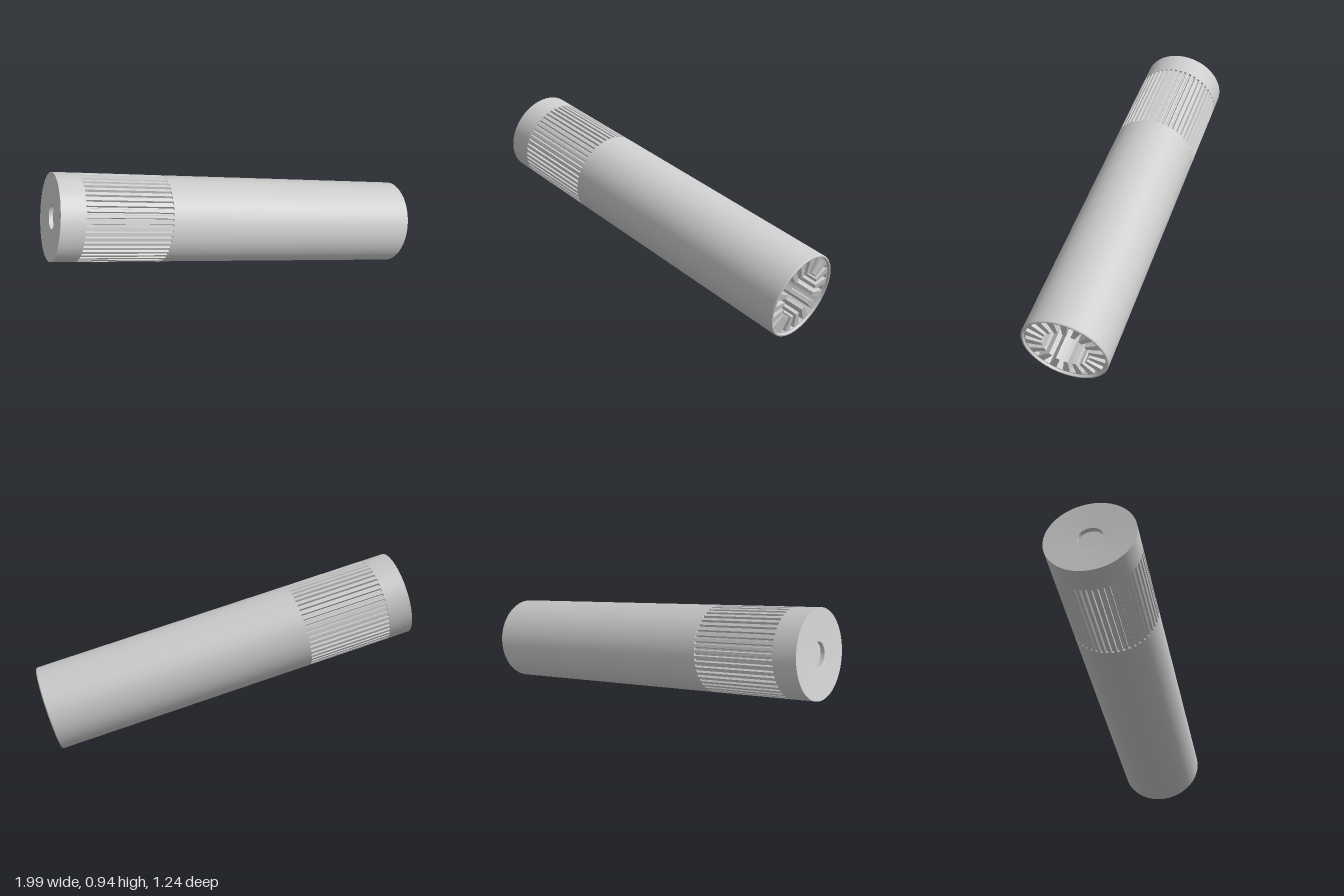
import * as THREE from 'three';
import { toCreasedNormals } from 'three/addons/utils/BufferGeometryUtils.js';

const R = 0.23, END = 1.01;          // handle radius and half length
const KNURL_START = -0.88, KNURL_END = -0.42;

// Closed outline alternating between a high and a low radius, with arcs subdivided
function toothedOutline(count, high, low, highShare, taper) {
  const pts = [], pitch = (Math.PI * 2) / count;
  const arc = (radius, from, to) => {
    for (let k = 0; k <= 2; k++) {
      const a = from + ((to - from) * k) / 2;
      pts.push(new THREE.Vector2(radius * Math.cos(a), radius * Math.sin(a)));
    }
  };
  for (let i = 0; i < count; i++) {
    const a = i * pitch;
    arc(high, a, a + pitch * highShare);
    arc(low, a + pitch * (highShare + taper), a + pitch * (1 - taper));
  }
  return pts;
}

export function createModel() {
  const model = new THREE.Group();
  const handle = new THREE.Group();
  handle.name = 'handle';
  const material = new THREE.MeshStandardMaterial({ color: 0xcccccc });

  const add = (name, geometry) => {
    const mesh = new THREE.Mesh(geometry, material);
    mesh.name = name;
    handle.add(mesh);
  };
  // Profiles are [radius, position along the handle]
  const turned = (name, profile) => {
    const g = new THREE.LatheGeometry(profile.map(([r, z]) => new THREE.Vector2(r, z)), 72);
    g.rotateX(Math.PI / 2);
    add(name, toCreasedNormals(g, 0.5));
  };
  const extruded = (name, shape, from, to) => {
    const g = new THREE.ExtrudeGeometry(shape, { depth: to - from, bevelEnabled: false, curveSegments: 48 });
    g.translate(0, 0, from);
    add(name, toCreasedNormals(g, 0.4));
  };

  // End cap with a slightly dished face and a small central recess
  turned('endCap', [
    [0, -END + 0.03], [0.063, -END + 0.03], [0.063, -END + 0.008],
    [R, -END], [R, KNURL_START], [0, KNURL_START],
  ]);

  // Grip band with lengthwise grooves
  extruded('knurledGrip', new THREE.Shape(toothedOutline(48, R, R - 0.013, 0.5, 0.12)), KNURL_START, KNURL_END);

  // Smooth hollow barrel with a thin lip at the mouth
  turned('barrel', [
    [0, KNURL_END], [R, KNURL_END], [R, END - 0.005], [R - 0.004, END],
    [0.219, END], [0.215, END - 0.008], [0.215, -0.35], [0, -0.35],
  ]);

  // Splined lining: teeth running down the bore
  const lining = new THREE.Shape();
  lining.absarc(0, 0, 0.22, 0, Math.PI * 2, false);
  lining.holes.push(new THREE.Path(toothedOutline(18, 0.21, 0.124, 0.48, 0.02).reverse()));
  extruded('boreSplines', lining, -0.35, END - 0.012);

  // Lay the handle along its tilted axis
  const axis = new THREE.Vector3(0.88, -0.243, 0.408).normalize();
  handle.quaternion.setFromUnitVectors(new THREE.Vector3(0, 0, 1), axis);
  handle.position.y = 0.469;
  model.add(handle);
  return model;
}
